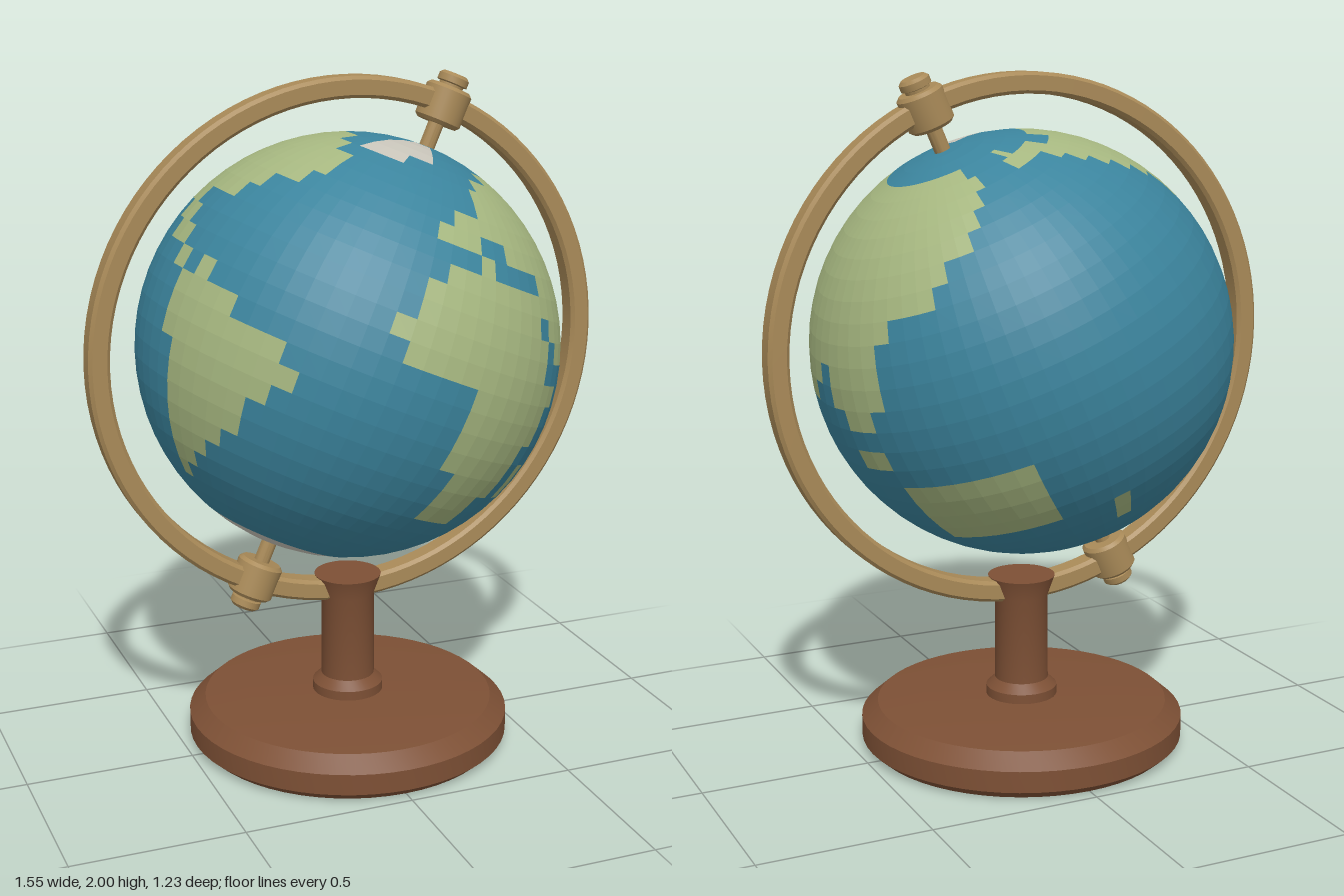
import * as THREE from 'three';
import { toCreasedNormals } from 'three/addons/utils/BufferGeometryUtils.js';

const CENTER_Y = 1.22, RADIUS = 0.615, TILT = THREE.MathUtils.degToRad(23.4);
const COLS = 64, ROWS = 32;

const material = (color) => new THREE.MeshStandardMaterial({ color });
const brass = material(0xa98a58), wood = material(0x7d5035);
const surfaces = { ocean: material(0x3b849d), land: material(0xa6b780), ice: material(0xc9c5ba) };

// Continent corners as [longitude, latitude] in degrees
const CONTINENTS = [
  // Europe and Asia
  [[-9, 37], [-9, 44], [5, 54], [5, 60], [18, 70], [75, 72], [140, 73], [180, 69], [160, 51],
    [142, 37], [122, 30], [119, 21], [110, 4], [101, 4], [97, 17], [90, 22], [78, 8], [72, 19],
    [46, 16], [36, 29], [36, 37], [20, 40], [12, 45], [1, 41]],
  // Africa
  [[-6, 36], [10, 37], [12, 32], [33, 31], [43, 12], [51, 13], [40, -8], [39, -17], [29, -35],
    [19, -35], [9, 4], [-8, 4], [-17, 13]],
  // North America
  [[-166, 60], [-140, 59], [-125, 42], [-106, 21], [-84, 8], [-77, 8], [-97, 27], [-82, 27],
    [-78, 35], [-55, 47], [-58, 53], [-90, 69], [-120, 63], [-157, 71]],
  // South America
  [[-72, 12], [-50, 1], [-35, -5], [-39, -16], [-65, -45], [-68, -54], [-74, -48], [-71, -18], [-81, -5]],
];

// Islands as [west, east, south, north]
const ISLANDS = [[44, 50, -25, -14], [101, 112, -6, 0], [112, 152, -36, -11], [170, 176, -45, -36]];
const GREENLAND = [-62, -17, 62, 84];

const inBox = ([west, east, south, north], lon, lat) => lon > west && lon < east && lat > south && lat < north;

// Even-odd point in polygon test
function inside(poly, x, y) {
  let hit = false;
  poly.forEach(([ax, ay], i) => {
    const [bx, by] = poly[(i + 1) % poly.length];
    if ((ay > y) !== (by > y) && x < ax + ((y - ay) * (bx - ax)) / (by - ay)) hit = !hit;
  });
  return hit;
}

function surfaceAt(lon, lat) {
  // the southern ice cap, and the northern ice sheet narrowed at its south-east corner
  if (lat < -67.5 || (inBox(GREENLAND, lon, lat) && (lat > 67 || lon < -34))) return 'ice';
  const land = CONTINENTS.some((c) => inside(c, lon, lat)) || ISLANDS.some((b) => inBox(b, lon, lat));
  return land ? 'land' : 'ocean';
}

function named(object, name) {
  object.name = name;
  return object;
}

// Faceted sphere whose grid cells are sorted into ocean, land and ice
function buildGlobe() {
  const p = new THREE.SphereGeometry(RADIUS, COLS, ROWS).toNonIndexed().attributes.position;
  const cells = { ocean: [], land: [], ice: [] };
  const step = 360 / COLS;
  const snap = (angle) => (Math.floor(THREE.MathUtils.radToDeg(angle) / step) + 0.5) * step;
  const c = new THREE.Vector3(), v = new THREE.Vector3();
  for (let i = 0; i < p.count; i += 3) {
    c.set(0, 0, 0);
    for (let k = 0; k < 3; k++) c.add(v.fromBufferAttribute(p, i + k));
    c.normalize();
    const list = cells[surfaceAt(snap(Math.atan2(c.x, c.z)), snap(Math.asin(c.y)))];
    for (let k = 0; k < 3; k++) list.push(...v.fromBufferAttribute(p, i + k).toArray());
  }
  const globe = named(new THREE.Group(), 'globe');
  for (const name in cells) {
    const geo = new THREE.BufferGeometry();
    geo.setAttribute('position', new THREE.Float32BufferAttribute(cells[name], 3));
    geo.computeVertexNormals();
    globe.add(named(new THREE.Mesh(geo, surfaces[name]), name));
  }
  return globe;
}

// Turned part from [radius, height] points, with sharp profile edges
function turned(name, profile, mat, segments) {
  const geo = new THREE.LatheGeometry(profile.map(([r, y]) => new THREE.Vector2(r, y)), segments);
  return named(new THREE.Mesh(toCreasedNormals(geo, 0.4), mat), name);
}

// Pin, collar and knob at one pole, along +y
function buildPivot(name) {
  const pivot = named(new THREE.Group(), name);
  pivot.add(
    turned('pin', [[0, 0.6], [0.023, 0.6], [0.023, 0.7], [0, 0.7]], brass, 20),
    turned('collar', [[0, 0.685], [0.058, 0.685], [0.068, 0.695], [0.068, 0.785], [0.058, 0.795], [0, 0.795]], brass, 28),
    turned('knob', [[0, 0.79], [0.036, 0.79], [0.036, 0.803], [0.045, 0.806], [0.045, 0.825],
      [0.035, 0.834], [0, 0.834]], brass, 20),
  );
  return pivot;
}

export function createModel() {
  const model = named(new THREE.Group(), 'deskGlobe');

  // Stand
  model.add(
    turned('base', [[0, 0], [0.455, 0], [0.483, 0.025], [0.483, 0.088], [0.435, 0.13], [0.3, 0.142], [0, 0.142]], wood, 56),
    turned('column', [[0, 0.13], [0.106, 0.13], [0.106, 0.17], [0.08, 0.195], [0.079, 0.455],
      [0.1, 0.515], [0, 0.515]], wood, 36),
  );

  // Full ring with bevelled rectangular section
  const ring = turned('ring', [[0.725, -0.036], [0.767, -0.036], [0.777, -0.026], [0.777, 0.026], [0.767, 0.036],
    [0.725, 0.036], [0.715, 0.026], [0.715, -0.026], [0.725, -0.036]], brass, 96);
  ring.rotation.x = Math.PI / 2;
  ring.position.y = CENTER_Y;
  model.add(ring);

  // Globe and its two pivots on the tilted axis
  const axis = named(new THREE.Group(), 'tiltedAxis');
  const lower = buildPivot('lowerPivot');
  lower.rotation.z = Math.PI;
  axis.add(buildGlobe(), buildPivot('upperPivot'), lower);
  axis.position.y = CENTER_Y;
  axis.rotation.z = -TILT;
  model.add(axis);

  return model;
}
